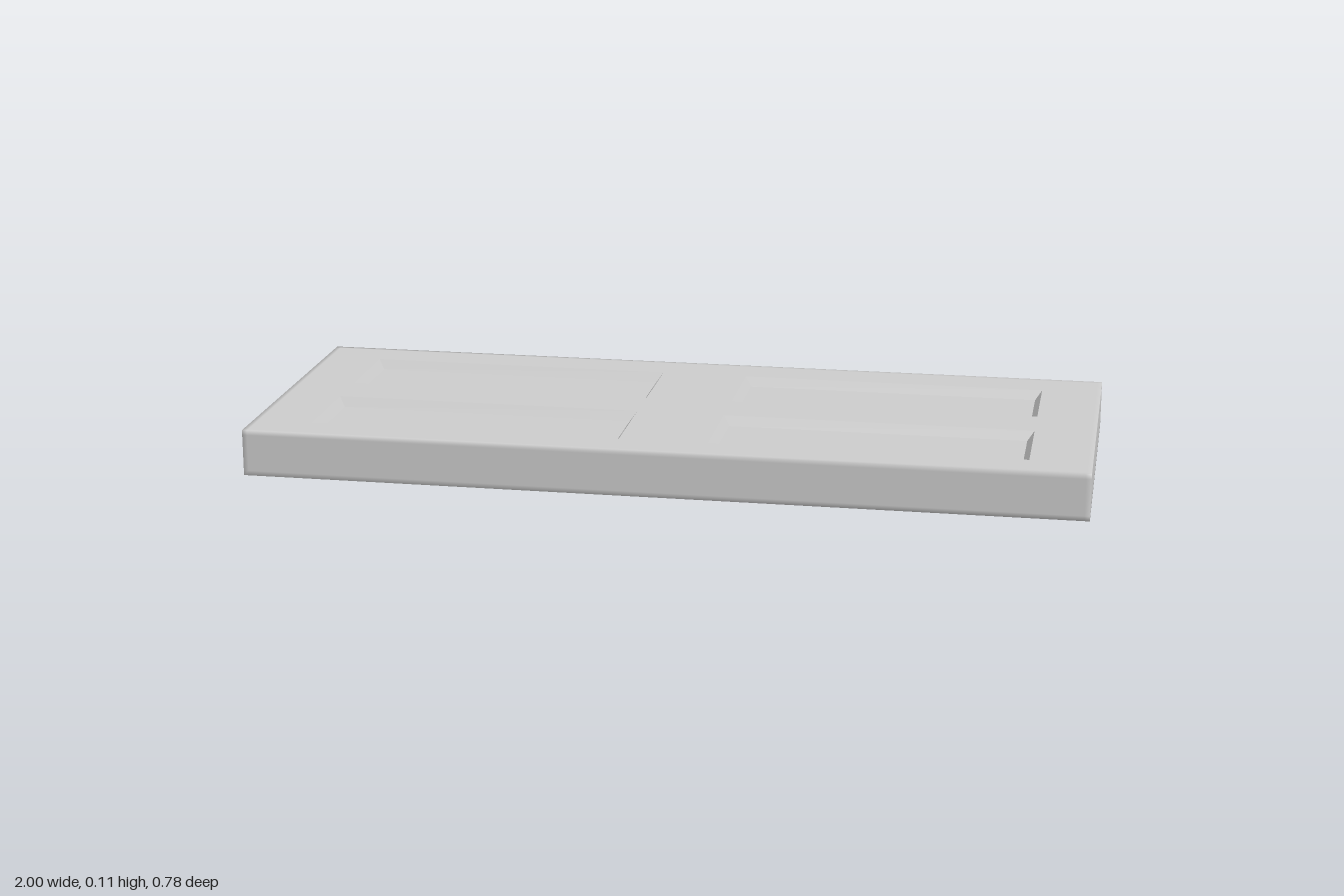
import * as THREE from 'three';
import { mergeVertices } from 'three/addons/utils/BufferGeometryUtils.js';

const W = 2, H = 0.112, D = 0.776;   // slab size
const EDGE = 0.012;                  // width of the softly shaded edge band
const SLOPE = 0.016, DEPTH = 0.022;  // recess wall run and depth

// Box with narrow edge bands and shared normals; the middle of its top is left open
function slabGeometry() {
  let geo = new THREE.BoxGeometry(W, H, D, 3, 3, 3);
  const p = geo.attributes.position;
  const band = (v, size) => Math.abs(v) > size * 0.4 ? v : Math.sign(v) * (size / 2 - EDGE);
  for (let i = 0; i < p.count; i++) {
    p.setXYZ(i, band(p.getX(i), W), band(p.getY(i), H) + H / 2, band(p.getZ(i), D));
  }
  geo.deleteAttribute('normal');
  geo.deleteAttribute('uv');
  geo = mergeVertices(geo, 1e-5);
  geo.computeVertexNormals();
  const q = geo.attributes.position, idx = geo.index.array, kept = [];
  const inTop = i => q.getY(i) > H - 1e-4 &&
    Math.abs(q.getX(i)) < W / 2 - EDGE / 2 && Math.abs(q.getZ(i)) < D / 2 - EDGE / 2;
  for (let i = 0; i < idx.length; i += 3) {
    const tri = [idx[i], idx[i + 1], idx[i + 2]];
    if (!tri.every(inTop)) kept.push(...tri);
  }
  geo.setIndex(kept);
  return geo;
}

// Rectangle corners, counter-clockwise seen from above
const corners = ([x0, x1, z0, z1], inset = 0) => [
  [x0 + inset, z0 + inset], [x0 + inset, z1 - inset],
  [x1 - inset, z1 - inset], [x1 - inset, z0 + inset],
];
const path = (rect, Type) =>
  new Type(corners(rect).map(([x, z]) => new THREE.Vector2(x, -z)));

// Sunken panel: four sloping walls and a flat floor
function recessGeometry(rect) {
  const pos = [], idx = [4, 5, 6, 4, 6, 7];
  corners(rect).forEach(([x, z]) => pos.push(x, H, z));
  corners(rect, SLOPE).forEach(([x, z]) => pos.push(x, H - DEPTH, z));
  for (let i = 0; i < 4; i++) {
    const j = (i + 1) % 4;
    idx.push(i, j, j + 4, i, j + 4, i + 4);
  }
  let geo = new THREE.BufferGeometry();
  geo.setAttribute('position', new THREE.Float32BufferAttribute(pos, 3));
  geo.setIndex(idx);
  geo = geo.toNonIndexed();
  geo.computeVertexNormals();
  return geo;
}

export function createModel() {
  const group = new THREE.Group();
  group.name = 'panelDoor';
  const mat = new THREE.MeshStandardMaterial({ color: 0xcccccc });
  const add = (geo, name) => {
    const mesh = new THREE.Mesh(geo, mat);
    mesh.name = name;
    group.add(mesh);
    return mesh;
  };

  // Two columns by two rows of panels
  const rects = [];
  for (const [x0, x1] of [[-0.855, -0.105], [0.107, 0.855]]) {
    for (const [z0, z1] of [[-0.286, -0.053], [0.067, 0.302]]) rects.push([x0, x1, z0, z1]);
  }

  // Slab body
  add(slabGeometry(), 'slab');

  // Flat face with openings for the panels
  const hx = W / 2 - EDGE, hz = D / 2 - EDGE;
  const face = path([-hx, hx, -hz, hz], THREE.Shape);
  face.holes = rects.map(r => path(r, THREE.Path));
  const faceGeo = new THREE.ShapeGeometry(face);
  faceGeo.rotateX(-Math.PI / 2);
  add(faceGeo, 'face').position.y = H;

  // Recessed panels
  rects.forEach((r, i) => add(recessGeometry(r), `recessedPanel${i + 1}`));
  return group;
}
